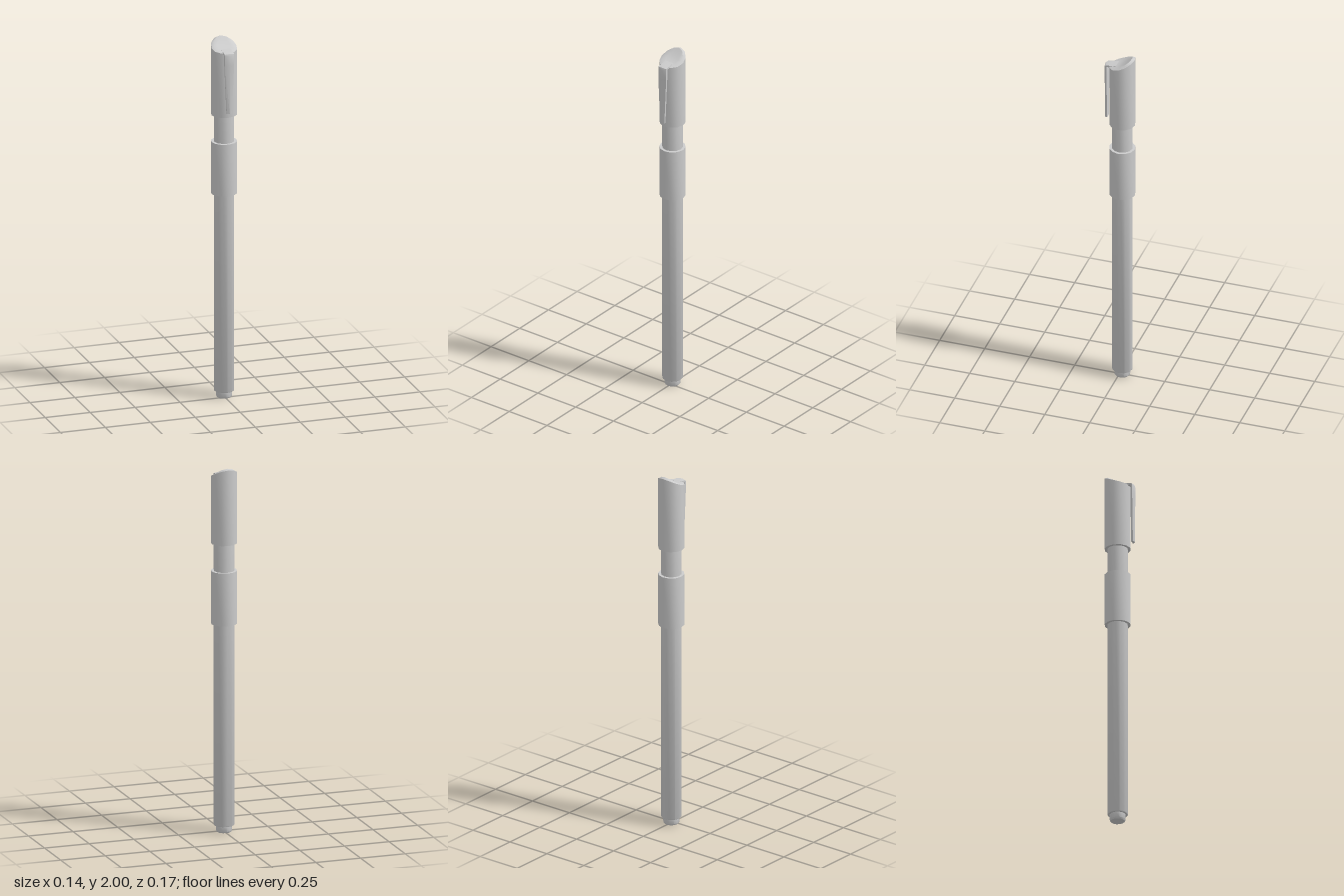
import * as THREE from 'three';
import { toCreasedNormals } from 'three/addons/utils/BufferGeometryUtils.js';

const SIDES = 12;
const AXIS_Z = -0.015;
const material = new THREE.MeshStandardMaterial({ color: 0xcccccc });

function addMesh(group, name, geometry) {
  const mesh = new THREE.Mesh(toCreasedNormals(geometry, 0.7), material);
  mesh.name = name;
  group.add(mesh);
}

// Turned part around the pen's axis; profile is [radius, height] from the bottom up
function turned(profile) {
  const points = profile.map(([r, y]) => new THREE.Vector2(r, y));
  return new THREE.LatheGeometry(points, SIDES).translate(0, 0, AXIS_Z);
}

// Height of the scooped, slanting lid at a given depth
const lidHeight = (z) => 1.945 + 0.055 * (Math.max(0, 0.05 - z) / 0.12) ** 2;

// Cap: a turned shape whose upper rings are bent onto the slanting lid
function capGeometry() {
  const geometry = turned([
    [0.054, 1.58], [0.07, 1.58], [0.07, 1.92], [0.055, 1.95],
    [0.037, 1.95], [0.018, 1.95], [0, 1.95],
  ]);
  const pos = geometry.attributes.position;
  for (let i = 0; i < pos.count; i++) {
    const y = pos.getY(i);
    const z = pos.getZ(i);
    if (y > 1.94) pos.setY(i, lidHeight(z));
    else if (y > 1.9) pos.setY(i, lidHeight(AXIS_Z + (z - AXIS_Z) * 0.055 / 0.07) - 0.006);
  }
  return geometry;
}

// Clip: five-cornered sections swept forward off the lid and down the front
function clipGeometry() {
  const thickness = 0.01;
  // y, z of the outer face, angle of its normal (0 = up, 90 = forward), half width, ridge
  const sections = [
    [1.951, 0.012, 10, 0.026, 0],
    [1.946, 0.045, 4, 0.026, 0.001],
    [1.944, 0.066, 15, 0.026, 0.002],
    [1.941, 0.073, 50, 0.026, 0.005],
    [1.933, 0.075, 90, 0.026, 0.007],
    [1.88, 0.075, 90, 0.026, 0.007],
    [1.61, 0.075, 90, 0.014, 0.006],
  ];
  const positions = [];
  const index = [];
  for (const [y, z, degrees, w, ridge] of sections) {
    const a = THREE.MathUtils.degToRad(degrees);
    const corners = [[-w, 0], [0, ridge], [w, 0], [w, -thickness], [-w, -thickness]];
    for (const [x, d] of corners) positions.push(x, y + d * Math.cos(a), z + d * Math.sin(a));
  }
  const n = 5;
  const last = (sections.length - 1) * n;
  for (let s = 0; s < last; s += n) {
    for (let j = 0; j < n; j++) {
      const k = (j + 1) % n;
      index.push(s + j, s + n + j, s + n + k, s + j, s + n + k, s + k);
    }
  }
  for (let j = 1; j < n - 1; j++) {
    index.push(0, j, j + 1, last, last + j + 1, last + j);
  }
  const geometry = new THREE.BufferGeometry();
  geometry.setAttribute('position', new THREE.Float32BufferAttribute(positions, 3));
  geometry.setIndex(index);
  return geometry;
}

export function createModel() {
  const group = new THREE.Group();
  group.name = 'pen';

  // End plug with a slightly eased lower edge
  addMesh(group, 'endPlug', turned([[0, 0], [0.038, 0], [0.043, 0.008], [0.043, 0.04]]));

  // Long barrel running up into the cap
  addMesh(group, 'barrel', turned([[0, 0.037], [0.053, 0.037], [0.055, 0.04], [0.055, 1.6]]));

  // Wider sleeve around the barrel
  addMesh(group, 'sleeve', turned([[0.054, 1.14], [0.07, 1.14], [0.07, 1.43], [0.054, 1.43]]));

  addMesh(group, 'cap', capGeometry());
  addMesh(group, 'clip', clipGeometry());
  return group;
}
